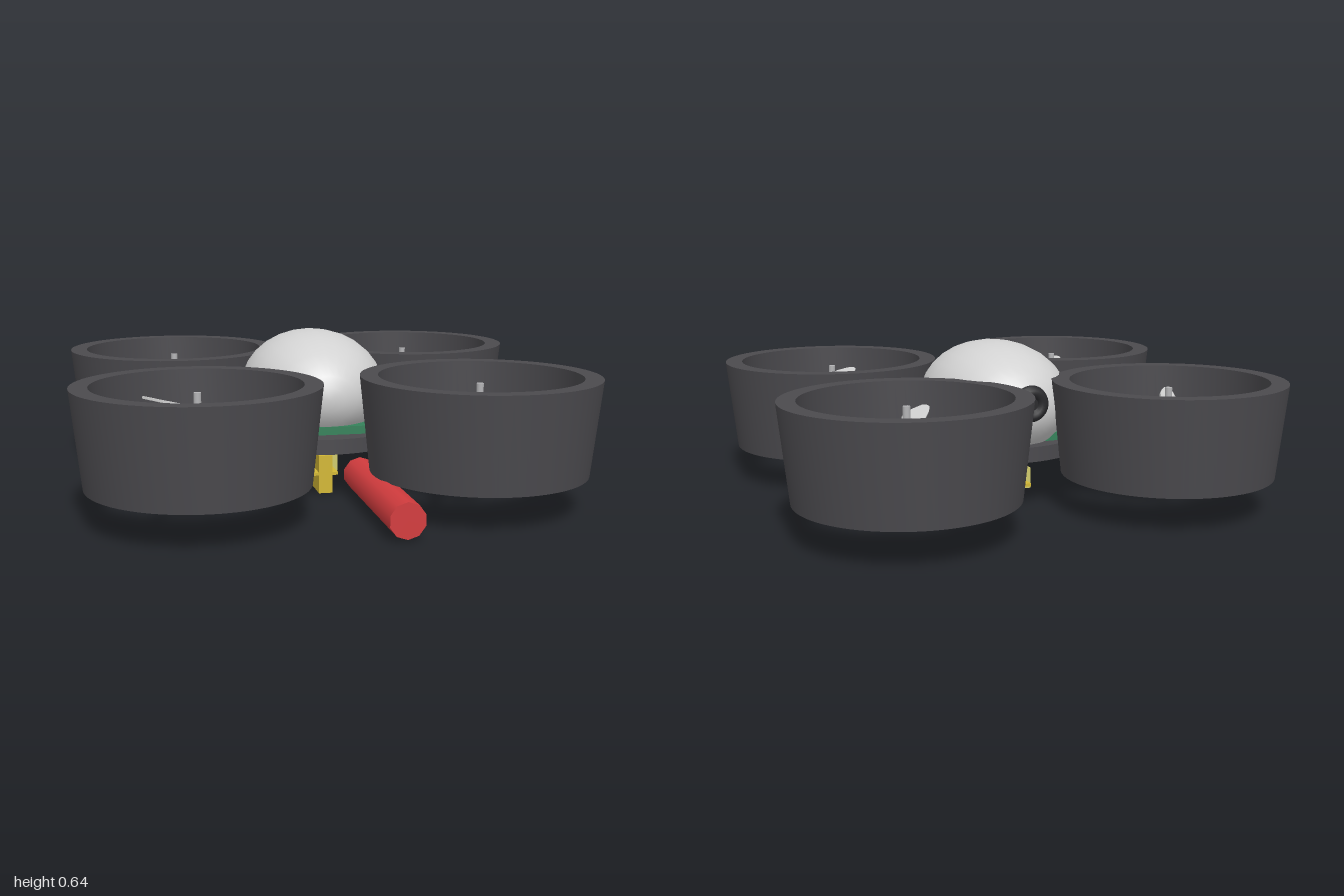
import * as THREE from 'three';
import { toCreasedNormals } from 'three/addons/utils/BufferGeometryUtils.js';

const paint = (name, color) => {
  const m = new THREE.MeshStandardMaterial({ color });
  m.name = name;
  return m;
};

export function createModel() {
  const dark = paint('dark grey', 0x4b4a4e);
  const black = paint('black', 0x29292c);
  const shell = paint('light grey', 0xd2d2d2);
  const metal = paint('metal grey', 0xb4b4b6);
  const yellow = paint('yellow', 0xd2b735);
  const pale = paint('pale yellow', 0xd0ca6c);
  const red = paint('red', 0xd23c3e);
  const green = paint('green', 0x35825a);
  const copper = paint('copper', 0xcb9060);

  const model = new THREE.Group();
  const add = (parent, name, geometry, material, x = 0, y = 0, z = 0) => {
    const mesh = new THREE.Mesh(geometry, material);
    mesh.name = name;
    mesh.position.set(x, y, z);
    parent.add(mesh);
    return mesh;
  };
  const box = (w, h, d) => new THREE.BoxGeometry(w, h, d);
  const disc = (r, h, n = 32) => new THREE.CylinderGeometry(r, r, h, n);

  // Central body: frame plate, circuit board, domed shell, rear camera
  add(model, 'framePlate', disc(0.39, 0.06, 48), dark, 0, 0.22, 0);
  add(model, 'circuitBoard', box(0.6, 0.035, 0.6), green, 0, 0.265, 0);
  const dome = new THREE.SphereGeometry(1, 28, 16).rotateX(Math.PI / 2).scale(0.295, 0.24, 0.385);
  add(model, 'shell', dome, shell, 0, 0.397, -0.04);
  add(model, 'cameraRing', new THREE.TorusGeometry(0.047, 0.026, 10, 24), black, 0, 0.43, -0.422);
  add(model, 'cameraLens', disc(0.045, 0.03, 20).rotateX(Math.PI / 2), black, 0, 0.43, -0.42);

  // Underslung mount with side block, thin plate and long tube
  add(model, 'mountBody', box(0.056, 0.155, 0.5), yellow, 0, 0.0775, 0);
  add(model, 'mountBlock', box(0.2, 0.086, 0.22), pale, 0, 0.077, -0.09);
  add(model, 'mountPlate', box(0.1, 0.012, 0.57), yellow, 0, 0.08, -0.035);
  add(model, 'frontTube', disc(0.068, 0.7, 10).rotateX(Math.PI / 2), red, 0.14, 0.076, 0.605);

  // Duct: slightly flared outside, straight inside
  const ductProfile = [[0.39, 0.14], [0.42, 0.14], [0.46, 0.51], [0.39, 0.51], [0.39, 0.14]];
  const ductGeometry = toCreasedNormals(
    new THREE.LatheGeometry(ductProfile.map(([r, y]) => new THREE.Vector2(r, y)), 64), 0.6);

  // Propeller blade: thin tapered outline, twisted flatter towards the tip
  const outline = new THREE.Shape();
  [[0.02, -0.022], [0.06, -0.034], [0.18, -0.036], [0.28, -0.027], [0.35, -0.015], [0.362, 0],
    [0.35, 0.012], [0.28, 0.022], [0.18, 0.032], [0.06, 0.034], [0.02, 0.022]]
    .forEach(([x, y], i) => (i ? outline.lineTo(x, y) : outline.moveTo(x, y)));
  const blade = new THREE.ExtrudeGeometry(outline, { depth: 0.01, bevelEnabled: false });
  blade.translate(0, 0, -0.005).rotateX(-Math.PI / 2);
  const p = blade.attributes.position;
  for (let i = 0; i < p.count; i++) {
    const a = 0.5 - 0.7 * p.getX(i), y = p.getY(i), z = p.getZ(i);
    p.setY(i, y * Math.cos(a) - z * Math.sin(a));
    p.setZ(i, y * Math.sin(a) + z * Math.cos(a));
  }
  blade.computeVertexNormals();

  // Four rotor units, one per corner
  for (const sx of [1, -1]) {
    for (const sz of [1, -1]) {
      const arm = add(model, 'arm', box(0.13, 0.06, 0.56), dark, sx * 0.35, 0.22, sz * 0.35);
      arm.rotation.y = Math.atan2(sx, sz);

      const rotor = new THREE.Group();
      rotor.name = 'rotorUnit';
      rotor.position.set(sx * 0.54, 0, sz * 0.54);
      model.add(rotor);
      add(rotor, 'duct', ductGeometry, dark);
      add(rotor, 'motorBase', disc(0.1, 0.03), metal, 0, 0.265, 0);
      add(rotor, 'motorWinding', disc(0.082, 0.04), copper, 0, 0.3, 0);
      add(rotor, 'motorBell', disc(0.1, 0.06), yellow, 0, 0.35, 0);
      add(rotor, 'motorCap', disc(0.076, 0.012), metal, 0, 0.384, 0);
      add(rotor, 'propellerHub', disc(0.032, 0.04, 20), metal, 0, 0.41, 0);
      add(rotor, 'shaft', disc(0.014, 0.1, 12), metal, 0, 0.43, 0);
      for (let k = 0; k < 3; k++) {
        add(rotor, 'propellerBlade', blade, shell, 0, 0.415, 0).rotation.y = (k * Math.PI * 2) / 3;
      }
    }
  }
  return model;
}
